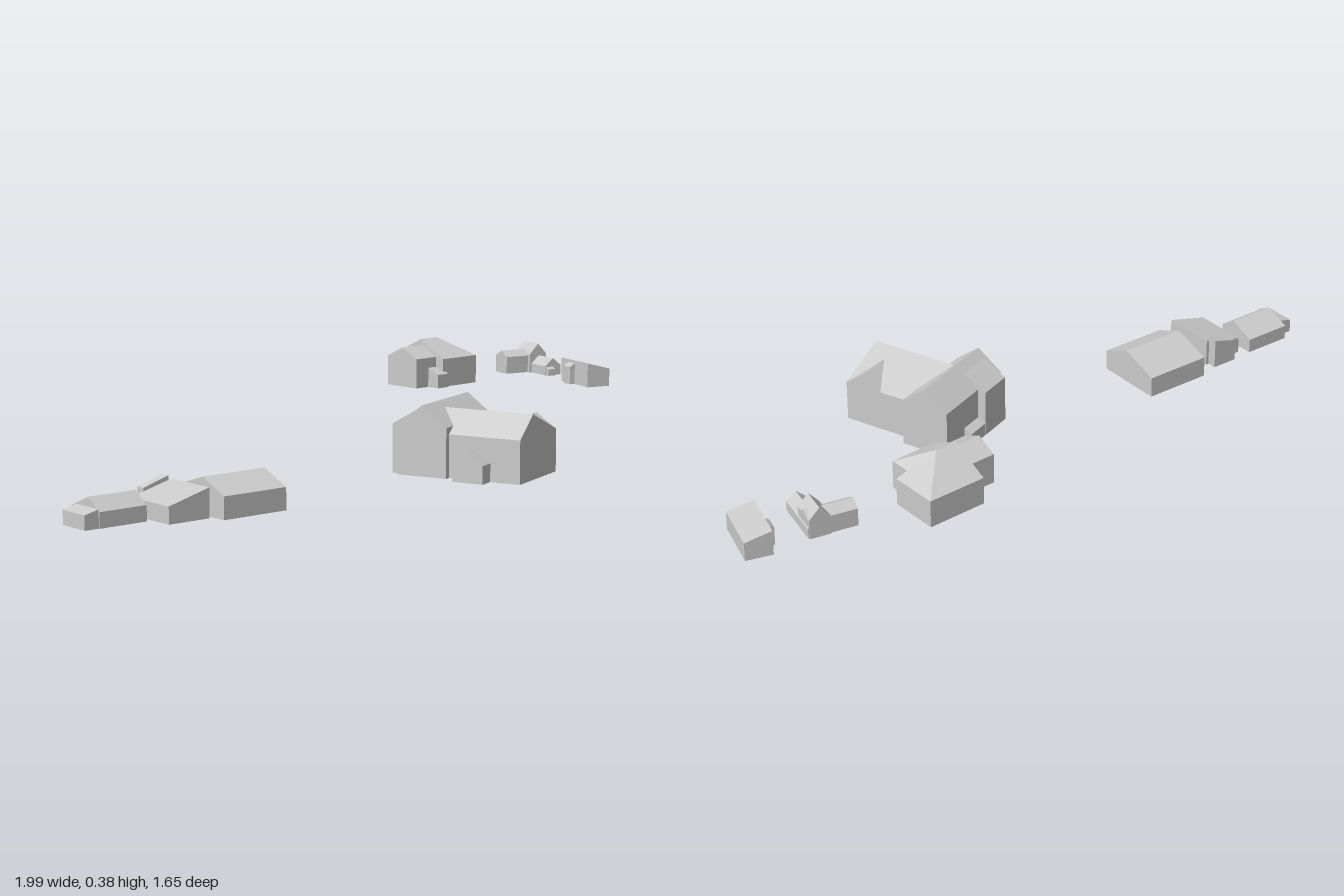
import * as THREE from 'three';
import { ConvexGeometry } from 'three/addons/geometries/ConvexGeometry.js';

const material = new THREE.MeshStandardMaterial({ color: 0xcccccc, flatShading: true });

// A building: a turned group with local u (x) and v (z) axes along its walls
function building(root, name, x, z, turn) {
  const g = new THREE.Group();
  g.name = name;
  g.position.set(x, 0, z);
  g.rotation.y = turn;
  root.add(g);
  return g;
}

// Convex solid through the given [u, y, v] points
function solid(parent, name, points) {
  const mesh = new THREE.Mesh(new ConvexGeometry(points.map(p => new THREE.Vector3(...p))), material);
  mesh.name = name;
  parent.add(mesh);
}

const rect = (u0, u1, v0, v1, y) => [[u0, y, v0], [u1, y, v0], [u1, y, v1], [u0, y, v1]];

// Walls on a rectangle, closed by a roof with the given ridge points
function house(parent, name, [u0, u1, v0, v1], base, eave, ridge) {
  solid(parent, name, [...rect(u0, u1, v0, v1, base), ...rect(u0, u1, v0, v1, eave), ...ridge]);
}
const gableU = (p, name, r, base, eave, top, v = (r[2] + r[3]) / 2) =>
  house(p, name, r, base, eave, [[r[0], top, v], [r[1], top, v]]);
const gableV = (p, name, r, base, eave, top, u = (r[0] + r[1]) / 2) =>
  house(p, name, r, base, eave, [[u, top, r[2]], [u, top, r[3]]]);

// Single-pitch blocks, with roof heights at both ends of u or of v
function shedU(p, name, [u0, u1, v0, v1], base, y0, y1) {
  solid(p, name, [...rect(u0, u1, v0, v1, base),
    [u0, y0, v0], [u0, y0, v1], [u1, y1, v0], [u1, y1, v1]]);
}
function shedV(p, name, [u0, u1, v0, v1], base, y0, y1) {
  solid(p, name, [...rect(u0, u1, v0, v1, base),
    [u0, y0, v0], [u1, y0, v0], [u0, y1, v1], [u1, y1, v1]]);
}

export function createModel() {
  const root = new THREE.Group();
  root.name = 'hillsideHamlet';

  // Row of three low houses
  const barn = building(root, 'lowBarn', -0.643, 0.459, 0.56);
  gableU(barn, 'barnBody', [0, 0.24, 0, 0.247], 0, 0.073, 0.119, 0.14);

  const shed = building(root, 'slopedShed', -0.787, 0.598, 0.56);
  shedU(shed, 'shedBody', [0, 0.151, 0, 0.193], 0.01, 0.065, 0.105);
  shedU(shed, 'shedBackRoom', [0.046, 0.14, -0.033, 0], 0.01, 0.088, 0.116);

  const cottage = building(root, 'endCottage', -0.969, 0.678, 0.56);
  gableU(cottage, 'cottageBody', [0, 0.17, 0, 0.147], 0.012, 0.062, 0.1, 0.09);
  shedU(cottage, 'cottageLeanTo', [-0.05, 0, 0.028, 0.143], 0.012, 0.058, 0.07);

  // Large house with two crossing wings
  const large = building(root, 'largeHouse', 0.093, 0.198, 0.925);
  gableU(large, 'tallWing', [0, 0.33, 0, 0.175], 0.04, 0.205, 0.272);
  gableV(large, 'longWing', [0.02, 0.293, 0.09, 0.426], 0.04, 0.182, 0.253, 0.114);
  solid(large, 'wingDormer', [[0.293, 0.18, 0.286], [0.293, 0.18, 0.426],
    [0.293, 0.23, 0.355], [0.15, 0.23, 0.355]]);
  gableU(large, 'frontPorch', [-0.035, 0.03, 0.215, 0.322], 0.04, 0.1, 0.14);
  shedV(large, 'sideBay', [0.02, 0.142, -0.03, 0.053], 0.04, 0.202, 0.25);
  shedV(large, 'sidePorch', [0.142, 0.225, -0.029, 0], 0.04, 0.085, 0.1);

  // Upper house: a half-hipped core with a front part and a side wing
  const upper = building(root, 'upperHouse', 0.291, -0.529, 0.607);
  const crown = [[0, 0.385, 0], [0.075, 0.385, 0]];
  house(upper, 'rearCore', [0, 0.206, -0.136, 0.032], 0.228, 0.32, crown);
  house(upper, 'frontCore', [-0.005, 0.158, 0, 0.114], 0.228, 0.325, crown);
  gableU(upper, 'sideWing', [-0.1, 0.02, -0.063, 0.08], 0.228, 0.33, 0.365);
  shedV(upper, 'entrancePorch', [-0.043, 0.008, 0.08, 0.128], 0.228, 0.295, 0.275);

  // Small house with crossing roofs
  const small = building(root, 'smallHouse', 0.6, -0.737, 0.374);
  gableU(small, 'smallBar', [0, 0.16, 0, 0.072], 0.235, 0.295, 0.315);
  gableV(small, 'raisedMiddle', [0.09, 0.16, -0.005, 0.085], 0.235, 0.3, 0.338);
  gableV(small, 'smallFrontWing', [0.097, 0.163, 0, 0.175], 0.235, 0.268, 0.295);
  shedV(small, 'smallPorch', [0.1, 0.13, 0.175, 0.19], 0.235, 0.265, 0.258);

  // Outlying hut
  const hut = building(root, 'outlyingHut', 0.857, -0.8, 0.3);
  shedU(hut, 'hutBody', [0, 0.09, 0, 0.187], 0.187, 0.272, 0.25);
  shedU(hut, 'hutSideRoom', [-0.02, 0, 0.05, 0.095], 0.187, 0.25, 0.262);

  return root;
}
